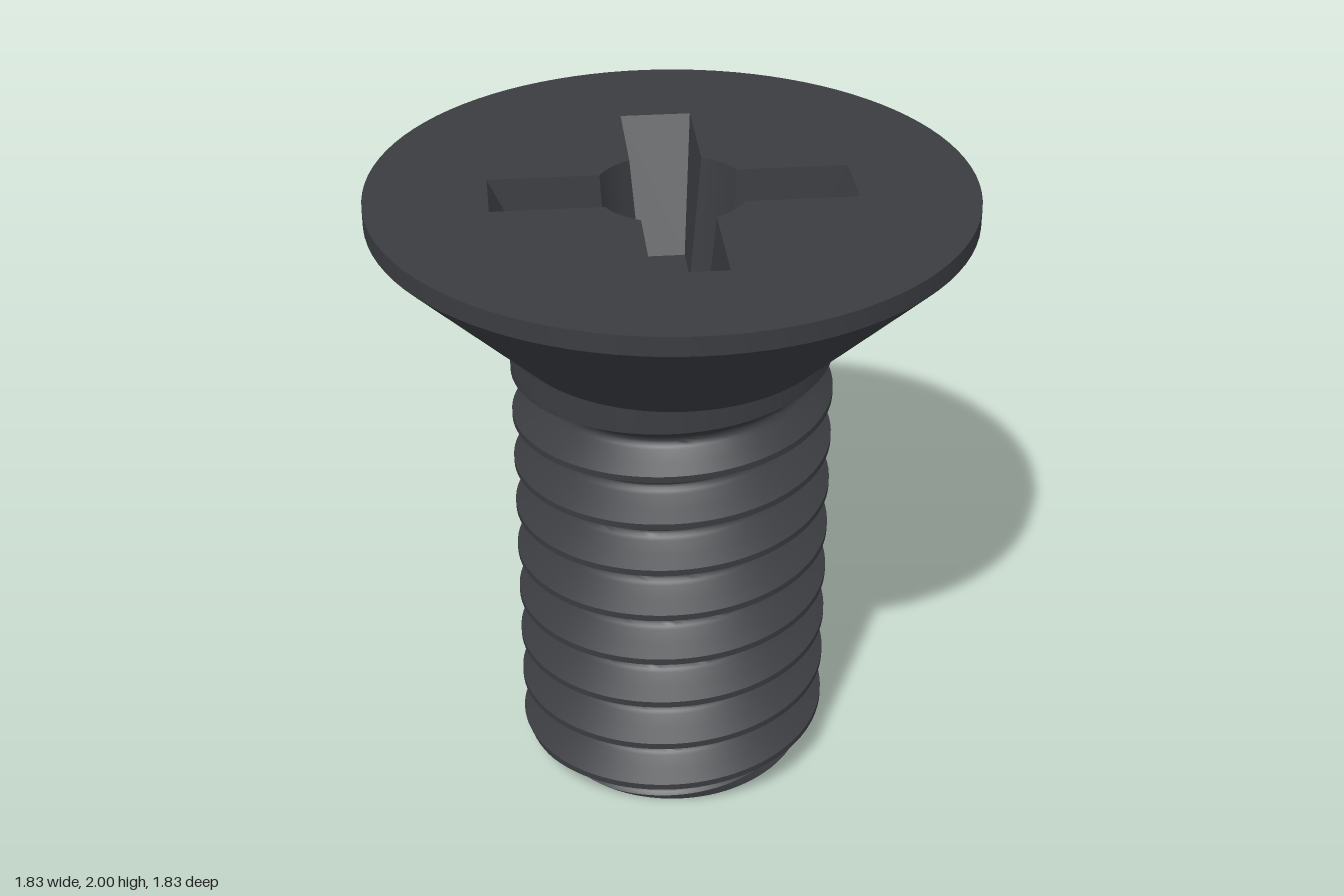
import * as THREE from 'three';
import { toCreasedNormals } from 'three/addons/utils/BufferGeometryUtils.js';

const TOP = 2, NECK = 1.525, HEAD_R = 0.915, SHAFT_R = 0.5;
const PITCH = 0.167, START = 0.085, SEG = 96;
const FLOOR_Y = 1.6; // floor of the cross recess

function fromTriangles(tris, crease) {
  const geo = new THREE.BufferGeometry().setFromPoints(tris);
  return toCreasedNormals(geo, crease);
}

// Depth of the 60 degree thread groove at distance d from the crest
function grooveDepth(d) {
  if (d < 0.01) return 0;
  if (d < 0.06) return (d - 0.01) * 1.73;
  const t = Math.min((d - 0.06) / 0.0235, 1);
  return 0.0866 + 0.0406 * (t - t * t / 2);
}

// Shaft radius: helical groove, fading out under the head, chamfered at the tip
function shaftRadius(theta, y) {
  const u = (y - START) / PITCH - 0.5 + theta / (2 * Math.PI);
  const d = Math.abs(u - Math.round(u)) * PITCH;
  const grooveY = y - (u - Math.floor(u) - 0.5) * PITCH;
  const fade = THREE.MathUtils.clamp((1.53 - grooveY) / 0.19, 0, 1);
  return Math.min(SHAFT_R - grooveDepth(d) * fade, 0.41 + y);
}

// Rows follow the helix, so the crest edges stay crisp
function threadedShaft() {
  const steps = [0.01, 0.035, 0.06, 0.067, 0.075, 0.0835, 0.092, 0.1, 0.107, 0.132, 0.157];
  const rows = [];
  for (let k = -2; k <= 10; k++) for (const s of steps) rows.push(k + s / PITCH);
  const columns = [];
  for (let i = 0; i <= SEG; i++) {
    const theta = (i / SEG) * 2 * Math.PI;
    const column = [new THREE.Vector3(0, 0, 0)]; // centre of the flat tip
    for (const u of rows) {
      const y = THREE.MathUtils.clamp(START + PITCH * (u + 0.5 - theta / (2 * Math.PI)), 0, NECK);
      const r = shaftRadius(theta, y);
      column.push(new THREE.Vector3(r * Math.cos(theta), y, r * Math.sin(theta)));
    }
    columns.push(column);
  }
  const tris = [];
  const add = (a, b, c) => {
    if (new THREE.Triangle(a, b, c).getArea() > 1e-9) tris.push(a, b, c);
  };
  for (let i = 0; i < SEG; i++) {
    for (let j = 0; j < rows.length; j++) {
      const a = columns[i][j], b = columns[i][j + 1];
      const c = columns[i + 1][j + 1], d = columns[i + 1][j];
      add(a, b, c);
      add(a, c, d);
    }
  }
  return fromTriangles(tris, 0.6);
}

// Cross outline with a round centre: arm length, arm half width, centre radius
function crossOutline(length, half, radius) {
  const points = [];
  const a0 = Math.asin(half / radius), n = 6;
  for (let arm = 0; arm < 4; arm++) {
    const turn = (arm * Math.PI) / 2;
    const add = (x, y) => points.push(new THREE.Vector2(x, y).rotateAround(new THREE.Vector2(), turn));
    add(length, -half);
    add(length, half);
    for (let i = 0; i <= n; i++) {
      const a = a0 + (Math.PI / 2 - 2 * a0) * (i / n);
      add(radius * Math.cos(a), radius * Math.sin(a));
    }
  }
  return points;
}

export function createModel() {
  const group = new THREE.Group();
  const material = new THREE.MeshStandardMaterial({ color: 0x3a3c40 });
  const add = (name, geometry, parent = group) => {
    const mesh = new THREE.Mesh(geometry, material);
    mesh.name = name;
    parent.add(mesh);
    return mesh;
  };

  add('threadedShaft', threadedShaft());

  // Countersunk head: cone and short rim
  const profile = [[0.46, NECK], [SHAFT_R, NECK], [HEAD_R, 1.94], [HEAD_R, TOP]]
    .map(([x, y]) => new THREE.Vector2(x, y));
  add('headCone', toCreasedNormals(new THREE.LatheGeometry(profile, SEG), 0.5));

  // Flat top with the cross cut out
  const upper = crossOutline(0.545, 0.11, 0.235);
  const lower = crossOutline(0.35, 0.075, 0.2);
  const face = new THREE.Shape().absarc(0, 0, HEAD_R, 0, Math.PI * 2, false);
  face.holes.push(new THREE.Path(upper));
  add('headTop', new THREE.ShapeGeometry(face, SEG / 2).rotateX(-Math.PI / 2).translate(0, TOP, 0));

  // Recess: tapered walls, four arm floors and a conical centre
  const recess = new THREE.Group();
  recess.name = 'crossRecess';
  group.add(recess);
  const walls = [];
  upper.forEach((p, i) => {
    const k = (i + 1) % upper.length;
    const at = (q, y) => new THREE.Vector3(q.x, y, -q.y);
    const a = at(p, TOP), b = at(upper[k], TOP);
    const c = at(lower[k], FLOOR_Y), d = at(lower[i], FLOOR_Y);
    walls.push(b, c, d, b, d, a);
  });
  add('recessWalls', fromTriangles(walls, 0.4), recess);

  const a = Math.asin(0.075 / 0.2), x = 0.2 * Math.cos(a);
  const armShape = new THREE.Shape();
  armShape.moveTo(x, -0.075);
  armShape.lineTo(0.35, -0.075);
  armShape.lineTo(0.35, 0.075);
  armShape.lineTo(x, 0.075);
  armShape.absarc(0, 0, 0.2, a, -a, true);
  for (let i = 0; i < 4; i++) {
    const floor = new THREE.ShapeGeometry(armShape, 8).rotateX(-Math.PI / 2);
    add('armFloor', floor.rotateY((i * Math.PI) / 2).translate(0, FLOOR_Y, 0), recess);
  }
  const cone = [new THREE.Vector2(0.2, FLOOR_Y), new THREE.Vector2(0, FLOOR_Y - 0.06)].reverse();
  const centre = add('recessCentre', new THREE.LatheGeometry(cone, 48), recess);
  centre.material = material.clone();
  centre.material.side = THREE.DoubleSide;

  return group;
}
